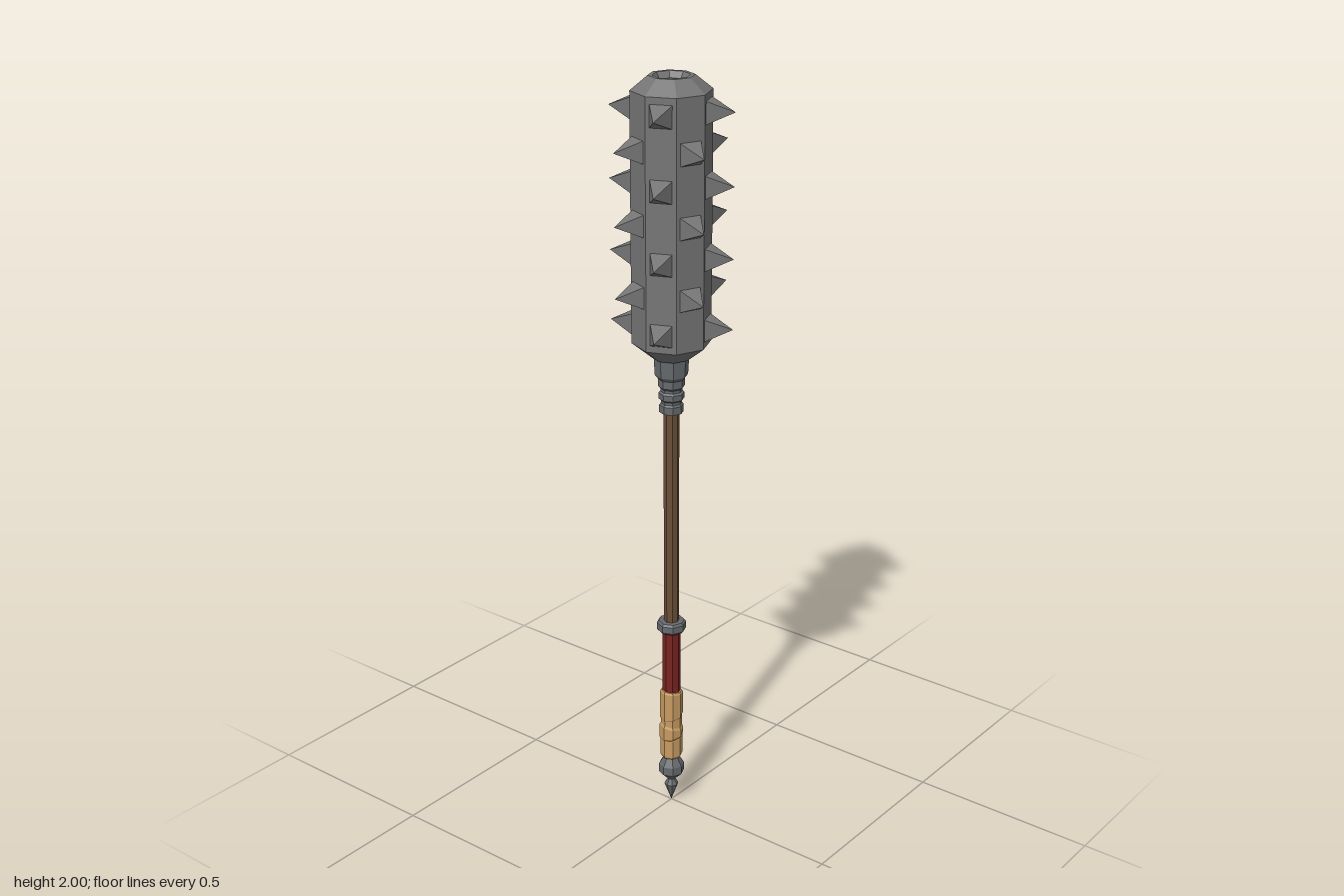
import * as THREE from 'three';

const mat = (name, color) => {
  const m = new THREE.MeshStandardMaterial({ color });
  m.name = name;
  return m;
};

// faceted normals
const facet = (geo) => {
  const g = geo.index ? geo.toNonIndexed() : geo;
  g.computeVertexNormals();
  return g;
};

// eight-sided turned part; points run [radius, height] from the bottom up
const turned = (points) =>
  new THREE.LatheGeometry(points.map(([r, y]) => new THREE.Vector2(r, y)), 8);

export function createModel() {
  const iron = mat('iron', 0x757575);
  const steel = mat('dark steel', 0x666a6d);
  const wood = mat('wood', 0x6a4f37);
  const red = mat('red leather', 0x7a2420);
  const tan = mat('tan wrap', 0xc79b62);

  const model = new THREE.Group();
  model.name = 'spikedMace';
  const add = (name, geo, material, parent = model) => {
    const mesh = new THREE.Mesh(facet(geo), material);
    mesh.name = name;
    parent.add(mesh);
    return mesh;
  };

  // octagonal head with a shallow recess in its top
  add('head', turned([
    [0, 1.295], [0.05, 1.295], [0.1, 1.335], [0.1, 1.965], [0.057, 2],
    [0.046, 2], [0.036, 1.985], [0, 1.985],
  ]), iron);

  // spikes: four per row, alternating between neighbouring faces
  const spikes = new THREE.Group();
  spikes.name = 'spikes';
  model.add(spikes);
  for (let row = 0; row < 7; row++) {
    for (let k = 0; k < 4; k++) {
      const spike = new THREE.ConeGeometry(0.041, 0.067, 4);
      spike.rotateY(Math.PI / 4);
      spike.rotateX(Math.PI / 2);
      spike.translate(0, 0, 0.1235);
      spike.rotateY((row % 2 ? -1 : 1) * Math.PI / 8 + k * Math.PI / 2);
      spike.translate(0, 1.38 + row * 0.09, 0);
      add('spike', spike, iron, spikes);
    }
  }

  // stepped socket under the head
  add('socket', turned([
    [0, 1.148], [0.031, 1.148], [0.031, 1.168], [0.027, 1.173], [0.027, 1.18],
    [0.033, 1.185], [0.033, 1.2], [0.028, 1.205], [0.028, 1.212], [0.034, 1.218],
    [0.034, 1.238], [0.042, 1.248], [0.045, 1.3], [0, 1.3],
  ]), steel);

  // shaft, guard ring and grip
  add('shaft', turned([[0.02, 0.53], [0.02, 1.16]]), wood);
  add('guardRing', turned([
    [0, 0.526], [0.034, 0.526], [0.039, 0.532], [0.039, 0.55], [0.034, 0.556], [0, 0.556],
  ]), steel);
  add('grip', turned([[0.024, 0.14], [0.024, 0.53]]), red);

  // uneven wrapped bands with slanted edges
  const wraps = new THREE.Group();
  wraps.name = 'wraps';
  model.add(wraps);
  const bands = [
    // bottom, top, radius, bottom slant, top slant, turn
    [0.143, 0.208, 0.03, 0.05, 0.2, 0.0],
    [0.2, 0.24, 0.032, 0.2, -0.2, 0.9],
    [0.228, 0.268, 0.029, -0.2, 0.25, 2.2],
    [0.262, 0.345, 0.031, 0.2, -0.1, 0.2],
  ];
  for (const [y0, y1, r, s0, s1, turn] of bands) {
    const geo = turned([
      [0.02, y0], [r - 0.003, y0], [r, y0 + 0.006],
      [r, y1 - 0.006], [r - 0.003, y1], [0.02, y1],
    ]);
    const p = geo.attributes.position;
    for (let i = 0; i < p.count; i++) {
      const slant = p.getY(i) > (y0 + y1) / 2 ? s1 : s0;
      p.setY(i, p.getY(i) + slant * (p.getX(i) * Math.cos(turn) + p.getZ(i) * Math.sin(turn)));
    }
    add('wrapBand', geo, tan, wraps);
  }

  // pommel ending in a point
  add('pommel', turned([
    [0, 0], [0.019, 0.052], [0.01, 0.068], [0.018, 0.076], [0.034, 0.092],
    [0.034, 0.116], [0.021, 0.138], [0.021, 0.148], [0, 0.148],
  ]), steel);

  return model;
}
